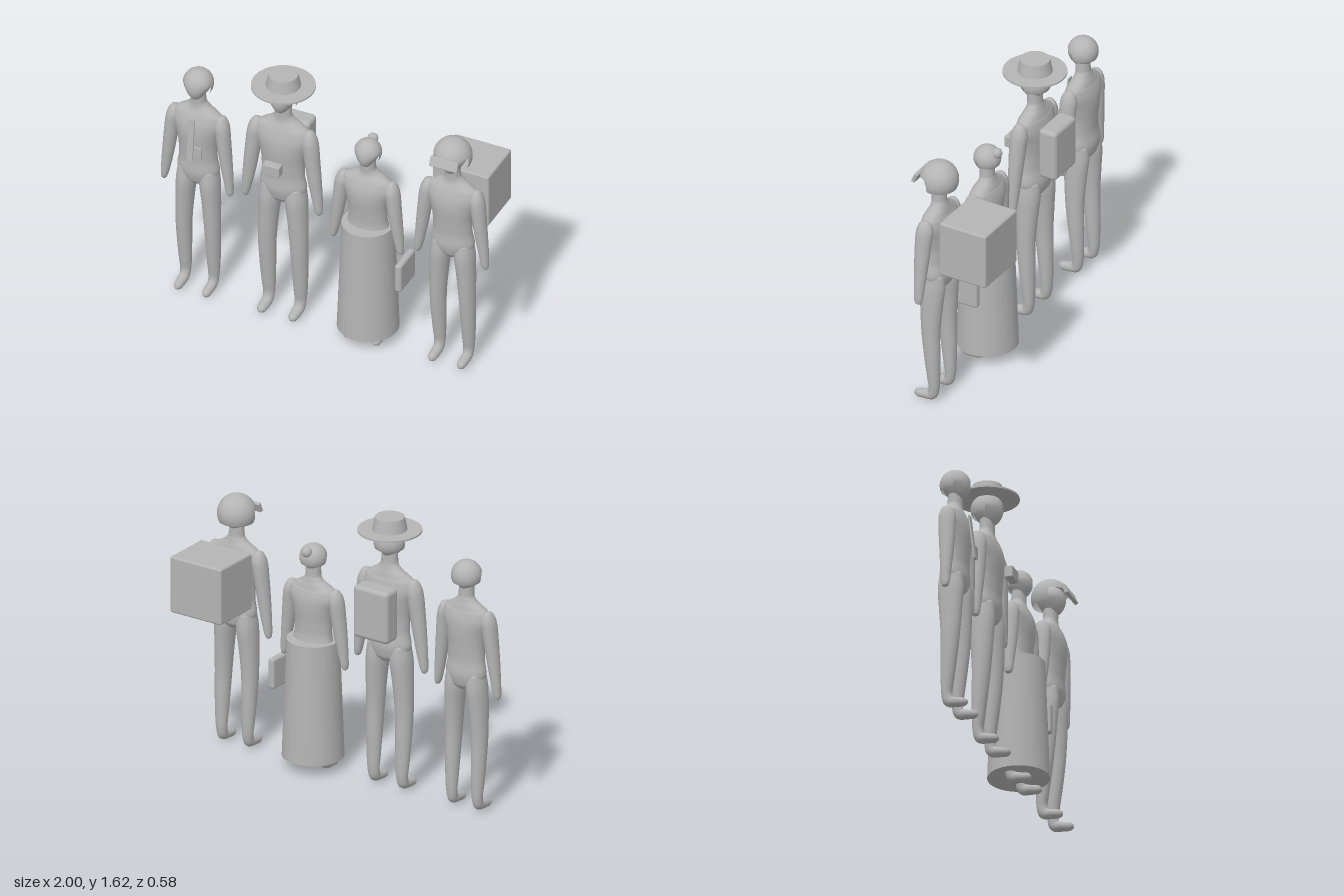
import * as THREE from 'three';
import { RoundedBoxGeometry } from 'three/addons/geometries/RoundedBoxGeometry.js';

const grey = new THREE.MeshStandardMaterial({ color: 0xb4b4b4, side: THREE.DoubleSide });
grey.name = 'plain grey';
const DEPTH = 0.105; // z of every figure's axis

// Smooth skin through stations [x, y, z, radius across, radius deep]
function loft(stations, sides = 28, steps = 6) {
  const path = new THREE.CatmullRomCurve3(stations.map((s) => new THREE.Vector3(s[0], s[1], s[2])));
  const radii = new THREE.CatmullRomCurve3(stations.map((s) => new THREE.Vector3(s[3], s[4], 0)));
  const rows = (stations.length - 1) * steps;
  const pos = [], index = [];
  const across = new THREE.Vector3(1, 0, 0);
  for (let i = 0; i <= rows; i++) {
    const c = path.getPoint(i / rows), r = radii.getPoint(i / rows);
    const t = path.getTangent(i / rows);
    const b = t.clone().cross(across).normalize();
    const n = b.clone().cross(t).normalize();
    for (let j = 0; j < sides; j++) {
      const a = (j / sides) * Math.PI * 2;
      const p = c.clone().addScaledVector(n, r.x * Math.cos(a)).addScaledVector(b, r.y * Math.sin(a));
      pos.push(p.x, p.y, p.z);
    }
  }
  for (let i = 0; i < rows; i++) {
    for (let j = 0; j < sides; j++) {
      const k = (j + 1) % sides, a = i * sides, b = a + sides;
      index.push(a + j, a + k, b + k, a + j, b + k, b + j);
    }
  }
  // End caps
  const first = pos.length / 3;
  for (const v of [path.getPoint(0), path.getPoint(1)]) pos.push(v.x, v.y, v.z);
  for (let j = 0; j < sides; j++) {
    const k = (j + 1) % sides, e = rows * sides;
    index.push(first, k, j, first + 1, e + j, e + k);
  }
  const g = new THREE.BufferGeometry();
  g.setAttribute('position', new THREE.Float32BufferAttribute(pos, 3));
  g.setIndex(index);
  g.computeVertexNormals();
  return g;
}

function add(parent, name, geometry, x = 0, y = 0, z = 0) {
  const m = new THREE.Mesh(geometry, grey);
  m.name = name;
  m.position.set(x, y, z);
  parent.add(m);
  return m;
}

const box = (w, h, d, r) => new RoundedBoxGeometry(w, h, d, 3, r);

const TORSO = [
  [0, 0.735, 0.1, 0.05, 0.045], [0, 0.765, 0.1, 0.1, 0.068], [0, 0.83, 0.102, 0.125, 0.08],
  [0, 0.91, 0.105, 0.113, 0.074], [0, 0.99, 0.107, 0.114, 0.078], [0, 1.08, 0.108, 0.13, 0.085],
  [0, 1.15, 0.106, 0.152, 0.08], [0, 1.2, 0.104, 0.145, 0.066], [0, 1.23, 0.102, 0.105, 0.054],
  [0, 1.255, 0.102, 0.066, 0.046], [0, 1.285, 0.104, 0.045, 0.042], [0, 1.36, 0.106, 0.042, 0.042],
];
const ARM = [
  [0.12, 1.2, 0.106, 0.012, 0.012], [0.133, 1.188, 0.107, 0.036, 0.038], [0.148, 1.14, 0.11, 0.042, 0.05],
  [0.163, 1.02, 0.114, 0.039, 0.046], [0.176, 0.91, 0.116, 0.035, 0.039], [0.19, 0.8, 0.117, 0.028, 0.031],
  [0.2, 0.725, 0.118, 0.02, 0.025], [0.203, 0.703, 0.118, 0.014, 0.018], [0.204, 0.694, 0.118, 0.003, 0.004],
];
const LEG = [
  [0.062, 0.83, 0.102, 0.055, 0.065], [0.071, 0.74, 0.104, 0.057, 0.074], [0.08, 0.62, 0.106, 0.052, 0.066],
  [0.087, 0.45, 0.106, 0.046, 0.054], [0.088, 0.3, 0.097, 0.042, 0.046], [0.087, 0.16, 0.088, 0.036, 0.036],
  [0.086, 0.09, 0.086, 0.031, 0.03], [0.086, 0.05, 0.1, 0.028, 0.032], [0.086, 0.04, 0.14, 0.028, 0.028],
  [0.086, 0.034, 0.185, 0.024, 0.025], [0.086, 0.033, 0.204, 0.013, 0.014], [0.086, 0.033, 0.209, 0.003, 0.003],
];

// Shell over the skull: full crown, with the sides and back reaching lower
function cap(parent, name, r, y) {
  const g = new THREE.Group();
  g.name = name;
  const brow = Math.acos(0.23), nape = Math.acos(-0.43);
  add(g, 'crown', new THREE.SphereGeometry(r, 40, 16, 0, Math.PI * 2, 0, brow));
  add(g, 'backAndSides', new THREE.SphereGeometry(r, 28, 8, Math.PI - 0.22, Math.PI + 0.44, brow, nape - brow));
  g.position.set(0, y, DEPTH);
  parent.add(g);
}

// Egg-shaped head that narrows to the chin
function headGeometry(s) {
  const g = new THREE.SphereGeometry(0.081, 32, 24);
  const p = g.attributes.position;
  for (let i = 0; i < p.count; i++) {
    const down = Math.max(0, -p.getY(i) / 0.081);
    p.setXYZ(i, p.getX(i) * (1 - 0.4 * down), p.getY(i) * (1 + 0.22 * down), p.getZ(i) + 0.012 * down);
  }
  g.scale(s, s, s);
  g.computeVertexNormals();
  return g;
}

// A standing person, sx wide and sy tall
function person(name, x, sx, sy, capName, capRadius, capY) {
  const g = new THREE.Group();
  g.name = name;
  g.position.x = x;
  const fit = (list, side) => list.map(([a, b, c, d, e]) => [a * sx * side, b * sy, c, d * sx, e]);
  add(g, 'torso', loft(fit(TORSO, 1), 40));
  for (const [side, label] of [[1, 'left'], [-1, 'right']]) {
    add(g, label + 'Arm', loft(fit(ARM, side)));
    add(g, label + 'Leg', loft(fit(LEG, side)));
  }
  add(g, 'head', headGeometry(sy), 0, 1.403 * sy, DEPTH + 0.004);
  cap(g, capName, capRadius, capY);
  return g;
}

export function createModel() {
  const model = new THREE.Group();
  model.name = 'fourTravellers';

  // Bare-headed person with a chest strap and tag
  const a = person('strapPerson', -0.783, 1, 1, 'hair', 0.087, 1.403);
  add(a, 'chestStrap', box(0.038, 0.27, 0.01, 0.003), 0, 1.07, 0.205).rotation.x = -0.12;
  add(a, 'tag', box(0.05, 0.068, 0.01, 0.003), 0.044, 1.0, 0.208);

  // Person with a brimmed hat, chest box and backpack
  const b = person('hatPerson', -0.263, 1.12, 1.055, 'hair', 0.092, 1.48);
  add(b, 'hatBrim', new THREE.CylinderGeometry(0.18, 0.18, 0.01, 64), 0, 1.545, DEPTH);
  add(b, 'hatCrown', new THREE.CylinderGeometry(0.083, 0.099, 0.078, 48), 0, 1.585, DEPTH);
  add(b, 'chestBox', box(0.105, 0.068, 0.05, 0.006), 0, 1.064, 0.247);
  add(b, 'backpack', box(0.235, 0.31, 0.115, 0.025), -0.003, 1.098, -0.037);

  // Person with a bun, long skirt and case
  const c = person('skirtPerson', 0.255, 1.02, 0.895, 'hair', 0.078, 1.257);
  add(c, 'bun', new THREE.SphereGeometry(0.03, 24, 16), 0, 1.305, 0.042);
  add(c, 'skirt', new THREE.CylinderGeometry(0.148, 0.174, 0.7, 64), 0, 0.422, 0.103);
  add(c, 'case', box(0.042, 0.18, 0.192, 0.015), 0.232, 0.522, 0.119);

  // Person with a helmet, visor and large carrying box
  const d = person('helmetPerson', 0.774, 1.025, 0.985, 'helmet', 0.11, 1.395);
  add(d, 'visor', box(0.17, 0.06, 0.022, 0.005), 0, 1.405, 0.217).rotation.x = -0.4;
  add(d, 'carryBox', box(0.345, 0.335, 0.3, 0.012), -0.001, 1.058, -0.143);

  model.add(a, b, c, d);
  return model;
}
